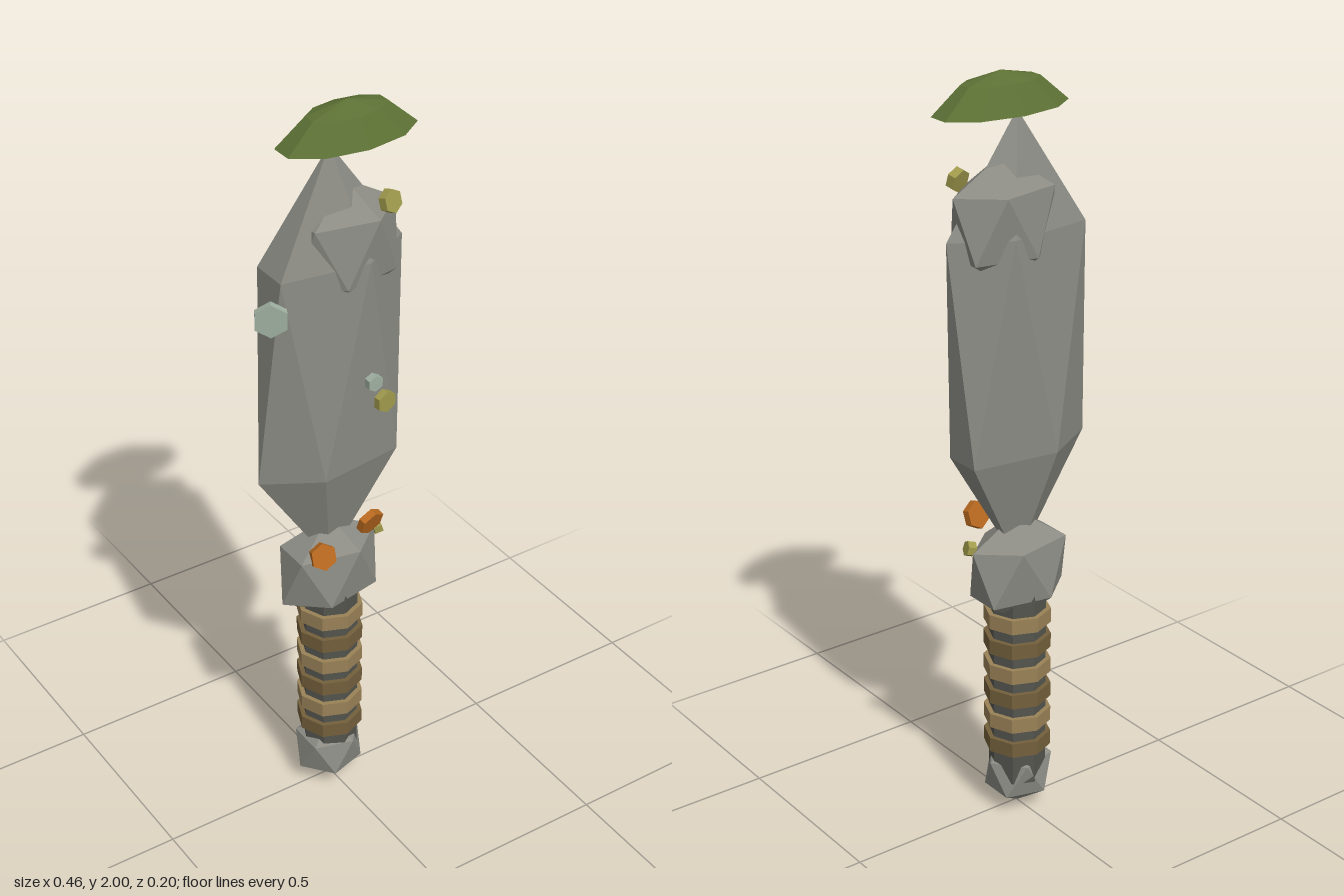
import * as THREE from 'three';

const mat = (color, side = THREE.FrontSide) =>
  new THREE.MeshStandardMaterial({ color, side, flatShading: true });

const CX = 0.003, CZ = -0.008; // shared axis of handle and blade

export function createModel() {
  const root = new THREE.Group();
  const stone = mat(0x8c8c85), darkStone = mat(0x55554f);
  const wrapLight = mat(0x9a8257), wrapDark = mat(0x74603c);
  const moss = mat(0x5c7034, THREE.DoubleSide);
  const orange = mat(0xb8691f), olive = mat(0xa09a4c), pale = mat(0x9fb0a0);

  function add(name, geometry, material, x, y, z) {
    const mesh = new THREE.Mesh(geometry, material);
    mesh.name = name;
    mesh.position.set(x, y, z);
    root.add(mesh);
    return mesh;
  }

  // Faceted stone: an icosahedron standing on its tip, with set tip and row heights
  function rock(name, x, z, rx, rz, [bottom, rowLow, rowHigh, top]) {
    const g = new THREE.IcosahedronGeometry(1, 0);
    g.rotateZ(-Math.atan(2 / (1 + Math.sqrt(5))));
    const p = g.attributes.position;
    for (let i = 0; i < p.count; i++) {
      const v = p.getY(i);
      const y = v > 0.9 ? top : v > 0 ? rowHigh : v > -0.9 ? rowLow : bottom;
      p.setXYZ(i, p.getX(i) * rx, y, p.getZ(i) * rz);
    }
    g.computeVertexNormals();
    return add(name, g, stone, x, 0, z);
  }

  // Stone bodies
  rock('pommel', -0.003, -0.004, 0.102, 0.092, [0.005, 0.06, 0.15, 0.2]);
  rock('guard', 0, CZ, 0.158, 0.097, [0.56, 0.635, 0.78, 0.86]);
  rock('blade', 0.003, CZ, 0.232, 0.097, [0.72, 1.035, 1.61, 1.9]);
  rock('bladeChunk', 0.046, CZ, 0.161, 0.098, [1.47, 1.555, 1.715, 1.8]);

  // Grip with alternating wrap rings
  add('grip', new THREE.CylinderGeometry(0.075, 0.075, 0.56, 8), darkStone, CX, 0.38, CZ);
  for (let i = 0; i < 6; i++) {
    add('gripWrap', new THREE.CylinderGeometry(0.088, 0.088, 0.04, 8),
      i % 2 ? wrapLight : wrapDark, CX, 0.21 + i * 0.0725, CZ);
  }

  // Moss cap: open shallow dome, oval in plan
  const dome = [[1, 0], [0.58, 0.066], [0, 0.09]].map(([r, y]) => new THREE.Vector2(r, y));
  const cap = add('mossCap', new THREE.LatheGeometry(dome, 10), moss, 0.052, 1.91, -0.01);
  cap.scale.set(0.187, 1, 0.094);

  // Flat six-sided studs: name, material, radius, thickness, centre, facing direction
  const studs = [
    ['upperStud', olive, 0.03, 0.022, [0.138, 1.74, 0.045], [0.25, 0.3, 1]],
    ['edgeStud', pale, 0.044, 0.02, [-0.192, 1.525, 0.042], [-0.5, 0, 0.85]],
    ['smallStud', pale, 0.022, 0.02, [0.067, 1.29, 0.09], [0, 0, 1]],
    ['middleStud', olive, 0.029, 0.02, [0.105, 1.22, 0.083], [0.1, 0, 1]],
    ['lowerStud', orange, 0.037, 0.02, [0.083, 0.85, 0.057], [0.15, -0.35, 1]],
    ['guardStud', orange, 0.036, 0.02, [-0.055, 0.79, 0.05], [-0.2, 0.4, 1]],
    ['sideStud', olive, 0.02, 0.022, [0.136, 0.787, 0.012], [1, 0.3, 0.3]],
  ];
  for (const [name, material, r, h, pos, dir] of studs) {
    const g = new THREE.CylinderGeometry(r, r, h, 6).rotateX(Math.PI / 2);
    const stud = add(name, g, material, ...pos);
    stud.lookAt(pos[0] + dir[0], pos[1] + dir[1], pos[2] + dir[2]);
  }

  return root;
}
